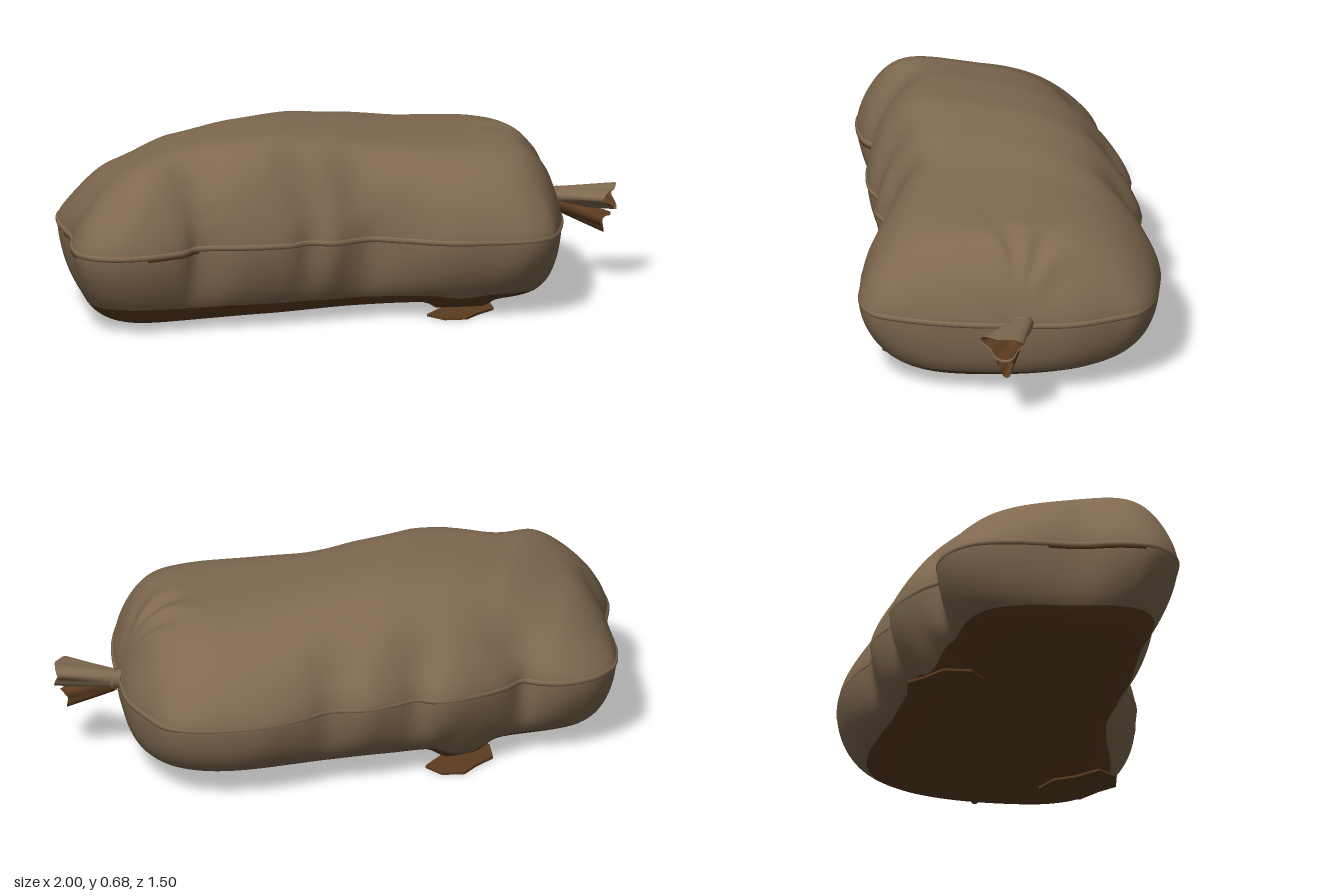
import * as THREE from 'three';

const canvas = new THREE.MeshStandardMaterial({ name: 'tanCanvas', color: 0x7f6950, side: THREE.DoubleSide });
const brown = new THREE.MeshStandardMaterial({ name: 'brownCanvas', color: 0x5c3c20, side: THREE.DoubleSide });

// Seam outline seen from above: x, z
const OUTLINE = [
  [-1, 0.05], [-0.95, -0.05], [-0.85, -0.12], [-0.76, -0.135], [-0.7, -0.13], [-0.64, -0.22], [-0.5, -0.35],
  [-0.43, -0.385], [-0.35, -0.385], [-0.27, -0.45], [-0.2, -0.5], [-0.13, -0.515], [-0.05, -0.53], [0.03, -0.6], [0.15, -0.68],
  [0.3, -0.73], [0.42, -0.75], [0.52, -0.73], [0.6, -0.65], [0.69, -0.53], [0.74, -0.4],
  [0.76, -0.33], [0.8, -0.2], [0.83, -0.05], [0.84, 0.1], [0.83, 0.2], [0.76, 0.27],
  [0.62, 0.31], [0.48, 0.34], [0.3, 0.33], [0.18, 0.335], [0.12, 0.38], [0.06, 0.435], [-0.03, 0.45],
  [-0.1, 0.51], [-0.25, 0.565], [-0.4, 0.58], [-0.44, 0.6], [-0.47, 0.65], [-0.6, 0.72],
  [-0.73, 0.74], [-0.84, 0.69], [-0.89, 0.58], [-0.91, 0.42], [-0.96, 0.28], [-0.99, 0.18],
];
// Crown height over the seam: x, height
const CROWN = [[-1, 0.15], [-0.8, 0.24], [-0.6, 0.315], [-0.4, 0.343], [-0.2, 0.355], [0, 0.34], [0.2, 0.315], [0.5, 0.3], [0.7, 0.29], [0.85, 0.26]];
// Places where the cloth is pinched in at the seam: x, z, depth
const PINCHES = [[-0.43, 0.55, 0.08], [-0.06, 0.43, 0.04], [0.13, 0.34, 0.05], [-0.68, -0.16, 0.06], [-0.38, -0.36, 0.05], [-0.08, -0.49, 0.04], [-0.9, 0.46, 0.04]];
const KNOT = [0.75, -0.35];
// Where the underside sags down to the loose flaps: x, z
const FLAPS = [[0.48, 0.13], [-0.47, -0.17]];

const N = 220, RINGS = 26;
const { lerp, clamp, smoothstep } = THREE.MathUtils;
const seamY = (x) => 0.302 + 0.022 * Math.exp(-(((x + 0.25) / 0.45) ** 2));

function crown(x) {
  let i = 0;
  while (i < CROWN.length - 2 && x > CROWN[i + 1][0]) i++;
  const [x0, h0] = CROWN[i], [x1, h1] = CROWN[i + 1];
  return lerp(h0, h1, smoothstep(x, x0, x1) * 0.4 + clamp((x - x0) / (x1 - x0), 0, 1) * 0.6);
}

// Evenly spaced outline, its smoothed copy, and the spine it shrinks towards
function makeOutline() {
  const curve = new THREE.CatmullRomCurve3(OUTLINE.map(([x, z]) => new THREE.Vector3(x, 0, z)), true);
  const edge = curve.getSpacedPoints(N).slice(0, N);
  const spine = new THREE.Line3(new THREE.Vector3(-0.62, 0, 0.33), new THREE.Vector3(0.5, 0, -0.2));
  return edge.map((p, j) => {
    const soft = new THREE.Vector3();
    for (let k = -9; k <= 9; k++) soft.add(edge[(j + k + N) % N]);
    soft.divideScalar(19);
    return { edge: p, soft, core: spine.closestPointToPoint(soft, true, new THREE.Vector3()) };
  });
}

// Point on the bag: s = 0 at the spine, 1 at the seam; side = 1 above, -1 below
function bagPoint(o, s, side) {
  const p = o.soft.clone().lerp(o.edge, s ** 8).sub(o.core).multiplyScalar(s).add(o.core);
  const base = seamY(p.x);
  if (side > 0) {
    // Fuller shoulders towards the front
    const power = 3 + 1.3 * smoothstep(o.soft.z, -0.4, 0.3);
    let h = crown(p.x) * Math.pow(1 - s ** power, 0.65);
    for (const [x, z, depth] of PINCHES) {
      h -= depth * Math.exp(-((p.x - x) ** 2 + (p.z - z) ** 2) / 0.009) * Math.min(1, h * 6);
    }
    // Gathers fanning out from the tied end
    const dx = KNOT[0] - p.x, dz = p.z - KNOT[1], d = Math.hypot(dx, dz);
    h += 0.011 * Math.sin(Math.atan2(dz, dx + 0.02) * 9) * Math.exp(-(((d - 0.13) / 0.1) ** 2)) * Math.min(1, h * 5);
    p.y = base + Math.max(0, h);
  } else {
    let floor = 0.04 - 0.06 * p.z;
    for (const [x, z] of FLAPS) floor -= 0.05 * Math.exp(-((((p.x - x) / 0.1) ** 2 + ((p.z - z) / 0.11) ** 2) ** 2));
    // Boxy at the back, tapering under at the front
    const power = clamp(7 - 4 * o.soft.z, 4, 10);
    p.y = base - (base - Math.max(0.006, floor)) * Math.pow(1 - s ** power, 0.6);
  }
  return p;
}

// Bag: rings from the top spine out to the seam and back under to the bottom spine
function makeBag(outline) {
  const rows = [];
  for (let i = 0; i <= RINGS; i++) rows.push([Math.sin((i / RINGS) * Math.PI / 2), 1]);
  for (let i = RINGS - 1; i >= 0; i--) rows.push([Math.sin((i / RINGS) * Math.PI / 2), -1]);
  const positions = [], index = [];
  let brownStart = 0;
  rows.forEach(([s, side], i) => {
    for (const o of outline) positions.push(...bagPoint(o, s, side).toArray());
    if (i === rows.length - 1) return;
    if (!brownStart && side < 0 && s < 0.83) brownStart = index.length;
    for (let j = 0; j < N; j++) {
      const k = (j + 1) % N;
      const a = i * N + j, b = i * N + k, c = a + N, d = b + N;
      index.push(a, b, d, a, d, c);
    }
  });
  const geo = new THREE.BufferGeometry();
  geo.setAttribute('position', new THREE.Float32BufferAttribute(positions, 3));
  geo.setIndex(index);
  geo.addGroup(0, brownStart, 0);
  geo.addGroup(brownStart, index.length - brownStart, 1);
  geo.computeVertexNormals();
  const mesh = new THREE.Mesh(geo, [canvas, brown]);
  mesh.name = 'bag';
  return mesh;
}

// Stitched ridge running around the seam, with two worn stretches under its front left edge
function makeSeam(outline) {
  const group = new THREE.Group();
  group.name = 'seam';
  const points = outline.map((o) => {
    const p = o.edge.clone().lerp(o.core, 0.02);
    p.y = seamY(p.x);
    return p;
  });
  const add = (name, pts, closed, radius, mat, drop) => {
    const curve = new THREE.CatmullRomCurve3(pts, closed);
    const mesh = new THREE.Mesh(new THREE.TubeGeometry(curve, pts.length, radius, 8, closed), mat);
    mesh.name = name;
    mesh.position.y = -drop;
    group.add(mesh);
  };
  add('seamRidge', points, true, 0.013, canvas, 0);
  add('wornSeamFront', points.filter((p) => p.z > 0.5 && p.x > -0.62 && p.x < -0.41), false, 0.012, brown, 0.008);
  add('wornSeamEnd', points.filter((p) => p.z > 0.3 && p.x < -0.85), false, 0.012, brown, 0.008);
  return group;
}

// Fluted open sleeve along +x, flaring from the neck to a ragged mouth
function sleeve(length, neck, mouthY, mouthZ, folds, inset) {
  const geo = new THREE.CylinderGeometry(1, 1, 1, 48, 12, true);
  const pos = geo.attributes.position;
  for (let i = 0; i < pos.count; i++) {
    const t = 0.5 - pos.getY(i);
    const a = Math.atan2(pos.getZ(i), pos.getX(i));
    const flute = 1 + 0.2 * Math.sqrt(t) * Math.cos(a * folds + 0.6);
    const ry = lerp(neck, mouthY, t) * flute - inset;
    const rz = lerp(neck, mouthZ, t) * flute - inset;
    pos.setXYZ(i, t * length * (1 + 0.06 * t * Math.cos(a * 2)), -Math.cos(a) * ry, Math.sin(a) * rz);
  }
  geo.computeVertexNormals();
  return geo;
}

// Tied end: cord, flared tail and a drooping lower tail
function makeKnot() {
  const group = new THREE.Group();
  group.name = 'tiedEnd';
  const add = (name, geo, mat, x, y, z, ry = 0, rz = 0) => {
    const mesh = new THREE.Mesh(geo, mat);
    mesh.name = name;
    mesh.position.set(x, y, z);
    mesh.rotation.set(0, ry, rz);
    group.add(mesh);
  };
  add('tail', sleeve(0.235, 0.032, 0.042, 0.078, 3, 0), canvas, 0.745, 0.315, -0.36, -0.06, 0.03);
  add('tailLining', sleeve(0.232, 0.032, 0.042, 0.078, 3, 0.006), brown, 0.745, 0.315, -0.36, -0.06, 0.03);
  add('lowerTail', sleeve(0.19, 0.03, 0.036, 0.03, 3, 0), brown, 0.775, 0.295, -0.35, 0, -0.36);
  add('cord', new THREE.TorusGeometry(0.031, 0.01, 8, 24), canvas, 0.775, 0.312, -0.355, Math.PI / 2);
  return group;
}

// Loose corner of cloth lying on the ground under the bag
function makeFlap(name, [x, z], turn) {
  const shape = new THREE.Shape([
    [-0.11, -0.1], [-0.04, -0.15], [0.04, -0.13], [0.07, -0.06], [0.12, 0.02], [0.09, 0.12], [0.0, 0.15], [-0.06, 0.08], [-0.07, 0],
  ].map(([a, b]) => new THREE.Vector2(a, b)));
  const geo = new THREE.ExtrudeGeometry(shape, { depth: 0.009, bevelEnabled: false }).rotateX(-Math.PI / 2);
  const flap = new THREE.Mesh(geo, brown);
  flap.name = name;
  flap.position.set(x, 0, z);
  flap.rotation.y = turn;
  return flap;
}

export function createModel() {
  const model = new THREE.Group();
  model.name = 'sandbag';
  const outline = makeOutline();
  model.add(makeBag(outline), makeSeam(outline), makeKnot());
  model.add(makeFlap('frontFlap', FLAPS[0], 0), makeFlap('backFlap', FLAPS[1], Math.PI));
  return model;
}
